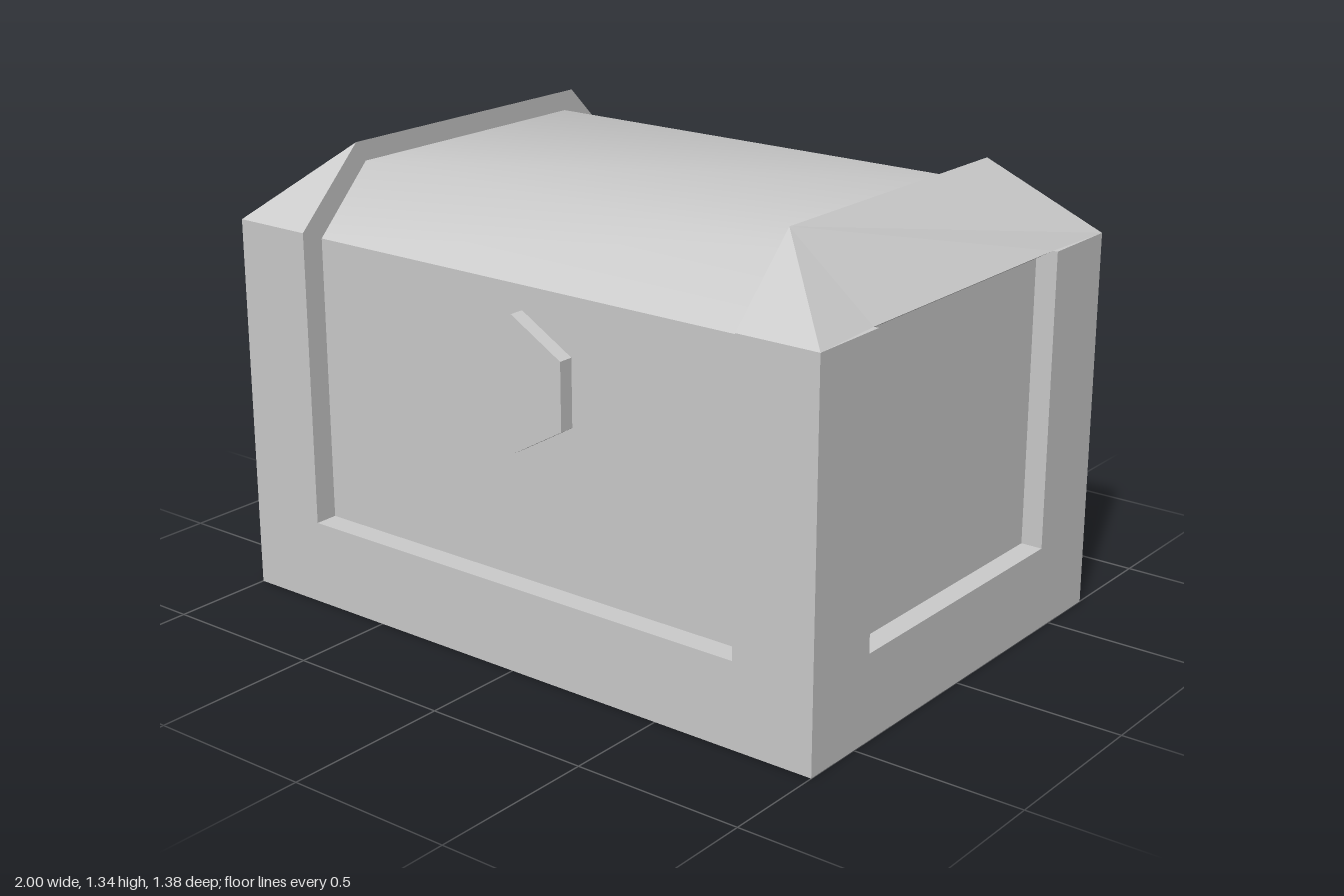
import * as THREE from 'three';

const grey = new THREE.MeshStandardMaterial({ color: 0xcccccc, flatShading: true });
const smooth = new THREE.MeshStandardMaterial({ color: 0xcccccc, side: THREE.DoubleSide });

function addBox(parent, name, [x0, x1], [y0, y1], [z0, z1]) {
  const mesh = new THREE.Mesh(new THREE.BoxGeometry(x1 - x0, y1 - y0, z1 - z0), grey);
  mesh.position.set((x0 + x1) / 2, (y0 + y1) / 2, (z0 + z1) / 2);
  mesh.name = name;
  parent.add(mesh);
  return mesh;
}

// Flat faces, each a fan around its first corner (anticlockwise from outside)
function facesGeometry(faces) {
  const pos = [];
  for (const f of faces)
    for (let i = 1; i < f.length - 1; i++) pos.push(...f[0], ...f[i], ...f[i + 1]);
  const geo = new THREE.BufferGeometry();
  geo.setAttribute('position', new THREE.Float32BufferAttribute(pos, 3));
  geo.computeVertexNormals();
  return geo;
}

// Hipped cap over one end of the chest
function capGeometry() {
  const front = [1, 1.12, 0.69], back = [1, 1.12, -0.69];
  const midF = [0.985, 1.12, 0.44], midB = [0.985, 1.12, -0.44];
  const topF = [0.75, 1.34, 0.47], topB = [0.75, 1.34, -0.47];
  const innerF = [0.75, 1.12, 0.69], innerB = [0.75, 1.12, -0.69];
  const lowF = [0.935, 1.09, 0.44], lowB = [0.935, 1.09, -0.44];
  return facesGeometry([
    [topF, front, midF, midB, back, topB], // outer slope
    [innerF, front, topF], // front hip
    [topB, back, innerB], // back hip
    [innerB, innerF, topF, topB], // inner wall
    [midF, lowF, lowB, midB], // lip above the side panel
    [front, innerF, [0.75, 1.12, 0.44], midF], // undersides over the posts
    [midB, [0.75, 1.12, -0.44], innerB, back],
  ]);
}

// Chamfered lid with soft shading across its three slopes
function lidGeometry() {
  const profile = [[0.62, 1.09], [0.435, 1.28], [-0.435, 1.28], [-0.625, 1.09]];
  const pos = [], index = [];
  profile.forEach(([z, y], i) => {
    pos.push(-0.75, y, z, 0.75, y, z);
    const a = i * 2;
    if (i < profile.length - 1) index.push(a, a + 1, a + 3, a, a + 3, a + 2);
  });
  const geo = new THREE.BufferGeometry();
  geo.setAttribute('position', new THREE.Float32BufferAttribute(pos, 3));
  geo.setIndex(index);
  geo.computeVertexNormals();
  return geo;
}

export function createModel() {
  const chest = new THREE.Group();
  chest.name = 'chest';

  // Base and recessed panels
  addBox(chest, 'base', [-1, 1], [0, 0.25], [-0.69, 0.69]);
  addBox(chest, 'panels', [-0.935, 0.935], [0.25, 1.09], [-0.625, 0.62]);

  // Corner posts
  for (const sx of [-1, 1])
    for (const sz of [-1, 1]) {
      const xs = sx > 0 ? [0.75, 1] : [-1, -0.75];
      const zs = sz > 0 ? [0.44, 0.69] : [-0.69, -0.44];
      addBox(chest, 'cornerPost', xs, [0.25, 1.12], zs);
    }

  // End caps, the second turned half round
  const capGeo = capGeometry();
  for (const [name, turn] of [['leftCap', 0], ['rightCap', Math.PI]]) {
    const cap = new THREE.Mesh(capGeo, grey);
    cap.name = name;
    cap.rotation.y = turn;
    chest.add(cap);
  }

  const lid = new THREE.Mesh(lidGeometry(), smooth);
  lid.name = 'lid';
  chest.add(lid);

  // Hexagonal lock plate on the front
  const lockGeo = new THREE.CylinderGeometry(0.195, 0.195, 0.06, 6).rotateX(Math.PI / 2);
  const lock = new THREE.Mesh(lockGeo, grey);
  lock.name = 'lockPlate';
  lock.position.set(0, 0.825, 0.635);
  chest.add(lock);

  return chest;
}
